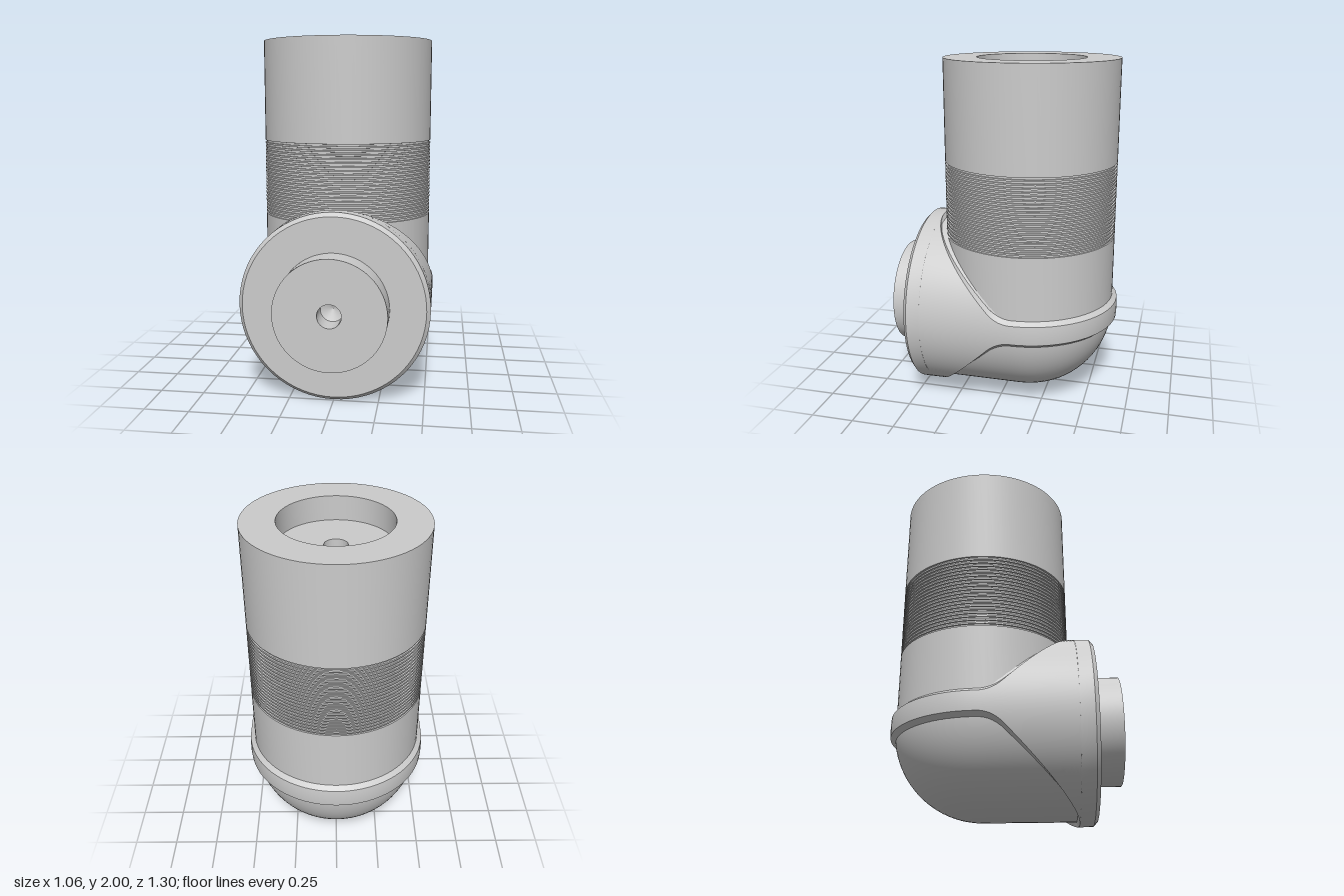
import * as THREE from 'three';
import { toCreasedNormals } from 'three/addons/utils/BufferGeometryUtils.js';

const AXIS_Y = 0.535;  // height of the horizontal axis
const AXIS_Z = -0.12;  // depth of the vertical axis
const R = 0.53;        // outer radius of the sleeve
const R_IN = 0.49;     // radius at which its edges are buried in the body

const material = new THREE.MeshStandardMaterial({ color: 0xcccccc, side: THREE.DoubleSide });

function makeMesh(name, geometry) {
  const mesh = new THREE.Mesh(toCreasedNormals(geometry, 0.5), material);
  mesh.name = name;
  return mesh;
}

function lathe(points) {
  return new THREE.LatheGeometry(points.map(([r, y]) => new THREE.Vector2(r, y)), 72);
}

// Lathe turned so that its axis points to the front
function frontLathe(points) {
  return lathe(points).rotateX(Math.PI / 2).translate(0, AXIS_Y, 0);
}

// Upright tube with fine grooves and a socket with a drilled hole on top
function tubeGeometry() {
  const points = [[0.5, AXIS_Y]];
  const count = 21, start = 0.98, pitch = 0.45 / count;
  for (let i = 0; i < count; i++) {
    const y = start + i * pitch;
    points.push([0.5, y], [0.492, y + 0.001], [0.492, y + pitch * 0.5], [0.5, y + pitch * 0.5 + 0.001]);
  }
  points.push([0.5, 1.43], [0.5, 2], [0.31, 2], [0.31, 1.86], [0.064, 1.86], [0.064, 1.74], [0, 1.71]);
  return lathe(points).translate(0, 0, AXIS_Z);
}

// Horizontal body with a ball-shaped rear end
function bodyGeometry() {
  const r = 0.504, points = [];
  for (let i = 0; i <= 20; i++) {
    const a = (i / 20) * Math.PI / 2;
    points.push([r * Math.sin(a), AXIS_Z - r * Math.cos(a)]);
  }
  points.push([r, 0.45]);
  return frontLathe(points);
}

// Raised sleeve: a band round the back that widens into the front flange.
// Each station gives half the sleeve's height there and how to place a point.
function sleeveGeometry() {
  const half = [];
  // widening sides, cut along a 45 degree line
  const a0 = Math.asin(0.14 / R);
  for (let i = 0; i <= 24; i++) {
    const d = R * Math.sin(Math.PI / 2 + (a0 - Math.PI / 2) * i / 24);
    half.push({ d, place: (h) => [h, d - 0.12] });
  }
  // fillet between the 45 degree line and the band
  const fillet = new THREE.QuadraticBezierCurve(
    new THREE.Vector2(0.02, 0.14), new THREE.Vector2(-0.042, 0.078), new THREE.Vector2(AXIS_Z, 0.078));
  for (let i = 1; i <= 10; i++) {
    const p = fillet.getPoint(i / 10);
    half.push({ d: p.y, place: (h) => [h, p.x] });
  }
  // quarter of the rear band
  for (let i = 1; i <= 18; i++) {
    const a = (i / 18) * Math.PI / 2;
    half.push({ d: 0.078, place: (h) => [h * Math.cos(a), AXIS_Z - h * Math.sin(a)] });
  }
  const mirrored = half.slice(0, -1).reverse().map(({ d, place }) => ({
    d, place: (h) => { const [x, z] = place(h); return [-x, z]; },
  }));
  const stations = [...half, ...mirrored];

  const ARC = 32, rows = ARC + 3;
  const positions = [], index = [];
  stations.forEach(({ d, place }, i) => {
    const taper = Math.sqrt(Math.max(0, 1 - (d / R) ** 2));
    const outer = Math.asin(Math.min(1, (d - 0.023 * taper) / R));
    const inner = outer + 0.085 * taper;
    const section = [[R_IN, inner]];
    for (let j = 0; j <= ARC; j++) section.push([R, outer * (1 - 2 * j / ARC)]);
    section.push([R_IN, -inner]);
    section.forEach(([r, t], j) => {
      const [x, z] = place(r * Math.cos(t));
      positions.push(x, AXIS_Y + r * Math.sin(t), z);
      if (i < stations.length - 1 && j < rows - 1) {
        const a = i * rows + j, b = a + 1, c = a + rows;
        index.push(a, b, c, b, c + 1, c);
      }
    });
  });
  const geometry = new THREE.BufferGeometry();
  geometry.setAttribute('position', new THREE.Float32BufferAttribute(positions, 3));
  geometry.setIndex(index);
  return geometry;
}

export function createModel() {
  const group = new THREE.Group();
  group.name = 'elbowJoint';
  group.add(
    makeMesh('groovedTube', tubeGeometry()),
    makeMesh('elbowBody', bodyGeometry()),
    makeMesh('sleeve', sleeveGeometry()),
    // Chamfered flange, plug and drilled hole
    makeMesh('frontFlange', frontLathe([
      [R_IN, 0.39], [R, 0.41], [R, 0.488], [0.508, 0.51], [0.31, 0.51],
      [0.31, 0.655], [0.066, 0.655], [0.066, 0.53], [0, 0.5],
    ])),
  );
  return group;
}
